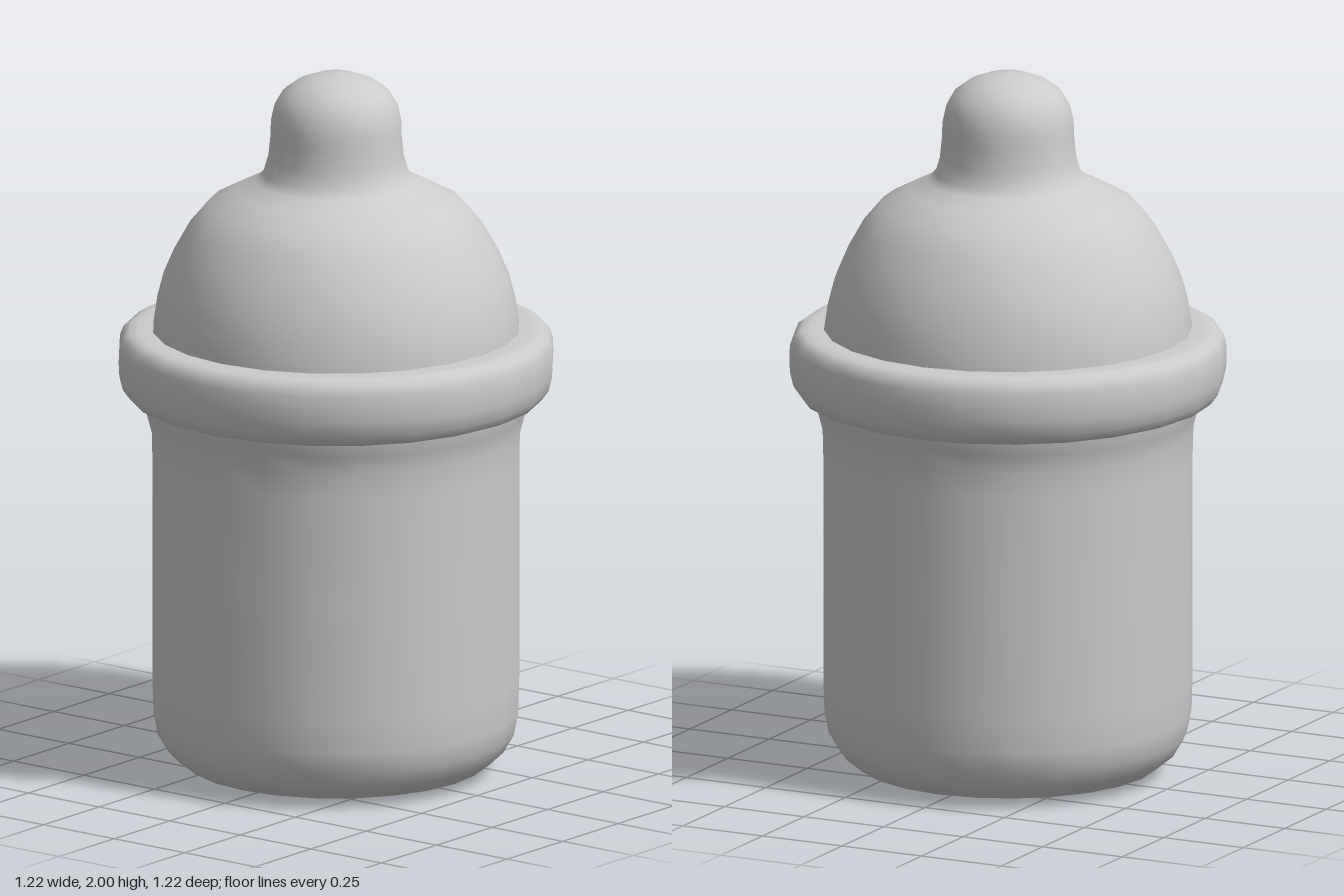
import * as THREE from 'three';

const material = new THREE.MeshStandardMaterial({ color: 0xcccccc });
const SIDES = 24;

// Turns a bottom-to-top profile of [radius, height] points around y
function turned(name, profile) {
  const points = profile.map(([r, y]) => new THREE.Vector2(r, y));
  const mesh = new THREE.Mesh(new THREE.LatheGeometry(points, SIDES), material);
  mesh.name = name;
  return mesh;
}

export function createModel() {
  const group = new THREE.Group();
  group.name = 'babyBottle';

  // Straight container with a rounded base and a slight flare under the collar
  group.add(turned('bottleBody', [
    [0, 0], [0.2, 0], [0.36, 0.005], [0.42, 0.02], [0.47, 0.06], [0.5, 0.11],
    [0.512, 0.17], [0.515, 0.27], [0.515, 0.6], [0.515, 0.9], [0.517, 0.98],
    [0.53, 1.03], [0.545, 1.075], [0.545, 1.12],
  ]));

  // Thick rounded collar
  group.add(turned('collarRing', [
    [0.5, 1.068], [0.55, 1.068], [0.578, 1.078], [0.598, 1.105], [0.608, 1.145],
    [0.61, 1.185], [0.608, 1.225], [0.598, 1.25], [0.578, 1.264], [0.55, 1.267],
    [0.48, 1.267],
  ]));

  // Domed teat with a narrow rounded tip
  group.add(turned('teat', [
    [0.515, 1.2], [0.513, 1.27], [0.503, 1.34], [0.485, 1.41], [0.455, 1.48],
    [0.41, 1.56], [0.355, 1.625], [0.28, 1.665], [0.225, 1.692], [0.203, 1.715],
    [0.19, 1.76], [0.184, 1.82], [0.183, 1.86], [0.173, 1.905], [0.15, 1.945],
    [0.11, 1.975], [0.06, 1.994], [0, 2],
  ]));

  return group;
}
